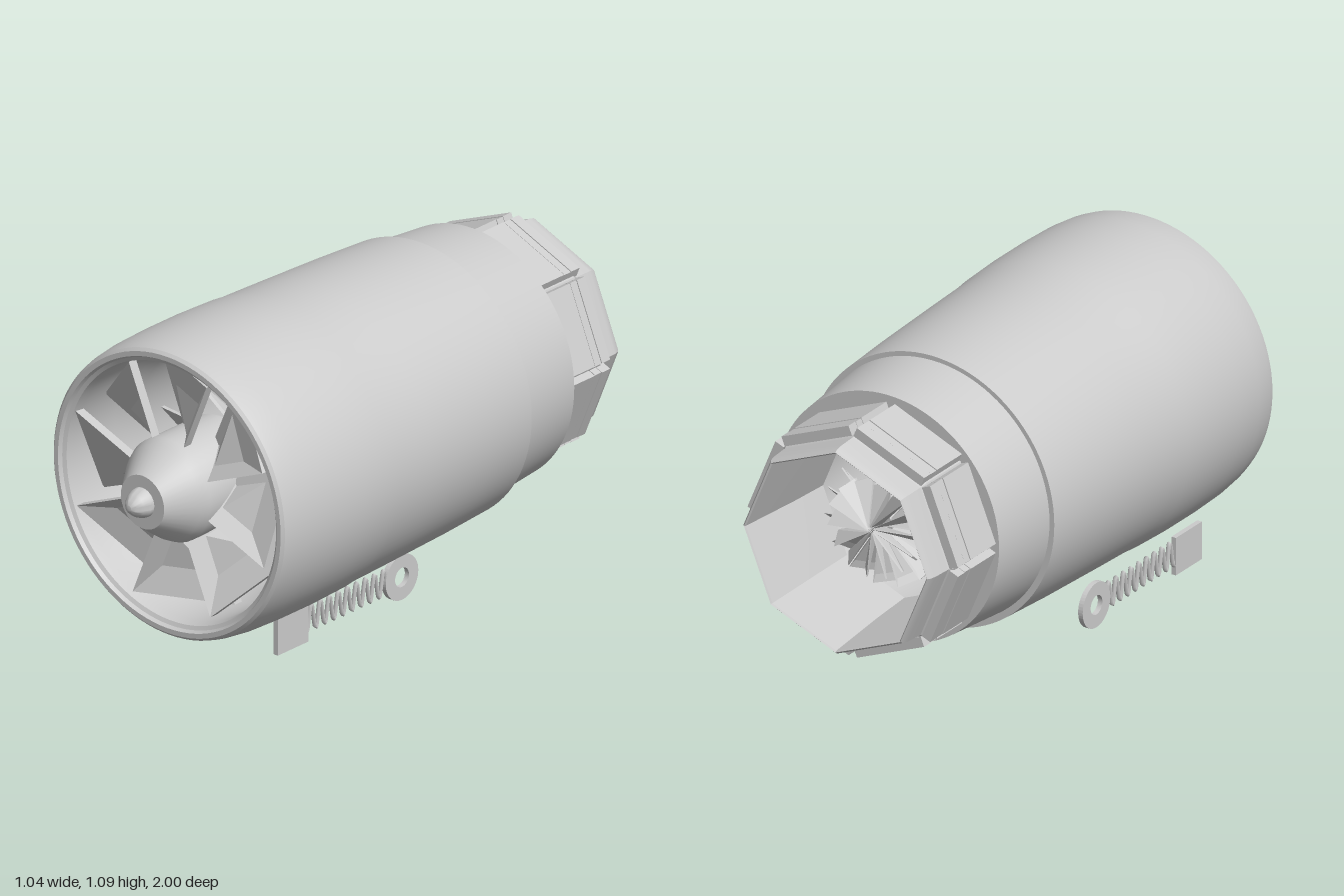
import * as THREE from 'three';
import { toCreasedNormals } from 'three/addons/utils/BufferGeometryUtils.js';

const grey = new THREE.MeshStandardMaterial({ color: 0xcccccc, side: THREE.DoubleSide });
const CY = 0.57; // height of the engine axis

function add(parent, name, geometry, x = 0, y = 0, z = 0) {
  const mesh = new THREE.Mesh(geometry, grey);
  mesh.name = name;
  mesh.position.set(x, y, z);
  parent.add(mesh);
  return mesh;
}

// Revolve [radius, z] pairs around the z axis
function revolve(profile, segments) {
  const points = profile.map(([r, z]) => new THREE.Vector2(r, z));
  return toCreasedNormals(new THREE.LatheGeometry(points, segments).rotateX(Math.PI / 2), 0.5);
}

// Radial blade: a thin box whose chord, sweep and pitch change from root to tip
function bladeGeometry(r0, r1, w0, w1, thick, depth) {
  const g = new THREE.BoxGeometry(1, 1, 1);
  const p = g.attributes.position;
  for (let i = 0; i < p.count; i++) {
    const t = p.getY(i) + 0.5, u = p.getX(i), v = p.getZ(i);
    p.setXYZ(i, u * (w0 + (w1 - w0) * t), r0 + (r1 - r0) * t, v * thick + u * depth);
  }
  const flat = g.toNonIndexed();
  flat.computeVertexNormals();
  return flat;
}

function bladeRing(parent, name, count, geometry, z, phase = 0) {
  const ring = new THREE.Group();
  ring.name = name;
  ring.position.z = z;
  for (let i = 0; i < count; i++) {
    add(ring, name + 'Blade', geometry).rotation.z = phase + (i / count) * Math.PI * 2;
  }
  parent.add(ring);
}

// Side bracket in the yz plane: square plate, serpentine spring and eyelet
function bracket(x) {
  const g = new THREE.Group();
  g.name = 'sideBracket';
  g.position.x = x;
  add(g, 'bracketPlate', new THREE.BoxGeometry(0.018, 0.135, 0.15), 0, 0.073, 0.535);

  const path = [];
  const waves = 9;
  for (let i = 0; i <= waves * 12; i++) {
    const t = i / (waves * 12);
    path.push(new THREE.Vector3(0, 0.084 + 0.045 * Math.sin(t * waves * Math.PI * 2), 0.07 + 0.4 * t));
  }
  const spring = new THREE.TubeGeometry(new THREE.CatmullRomCurve3(path), 216, 0.006, 6);
  add(g, 'bracketSpring', spring.scale(1.5, 1, 1));

  const eye = new THREE.Shape().absarc(0, 0, 0.08, 0, Math.PI * 2);
  eye.holes.push(new THREE.Path().absarc(0, 0, 0.034, 0, Math.PI * 2, true));
  const eyelet = new THREE.ExtrudeGeometry(eye, { depth: 0.018, bevelEnabled: false, curveSegments: 24 });
  add(g, 'bracketEyelet', eyelet.translate(0, 0, -0.009).rotateY(Math.PI / 2), 0, 0.08, 0);
  return g;
}

export function createModel() {
  const model = new THREE.Group();
  model.name = 'jetEngine';

  // Stepped outer shell with a rounded intake lip and an inner duct
  add(model, 'cowling', revolve([
    [0.455, -0.42], [0.482, -0.42], [0.494, -0.2], [0.505, 0.1], [0.51, 0.26], [0.515, 0.31],
    [0.52, 0.45], [0.52, 0.6], [0.516, 0.72], [0.508, 0.79], [0.502, 0.815], [0.492, 0.825],
    [0.475, 0.825], [0.468, 0.812], [0.455, 0.805], [0.45, 0.77], [0.448, 0.58],
    [0.42, 0.5], [0.41, 0.2], [0.35, -0.6],
  ], 96), 0.012, 0.565);
  add(model, 'rearCasing', revolve([[0.36, -0.68], [0.439, -0.68], [0.462, -0.41], [0.41, -0.41]], 96), 0.01, CY);

  const core = new THREE.Group();
  core.name = 'core';
  core.position.set(-0.003, CY, 0);
  model.add(core);

  // Octagonal exhaust nozzle with a rounded rim and tapering throat
  add(core, 'nozzle', revolve([
    [0.32, -0.6], [0.33, -0.75], [0.355, -0.995], [0.36, -1], [0.367, -0.992], [0.372, -0.97],
    [0.376, -0.9], [0.39, -0.88], [0.39, -0.66],
  ], 8));

  // Split panels on the eight nozzle faces
  for (let i = 0; i < 8; i++) {
    const face = new THREE.Group();
    face.name = 'nozzlePanel';
    face.rotation.z = ((i + 0.5) / 8) * Math.PI * 2;
    add(face, 'frontPanel', new THREE.BoxGeometry(0.286, 0.035, 0.15), 0, 0.371, -0.75);
    add(face, 'panelStrip', new THREE.BoxGeometry(0.286, 0.032, 0.03), 0, 0.371, -0.843);
    add(face, 'rearPanel', new THREE.BoxGeometry(0.286, 0.035, 0.04), 0, 0.371, -0.88);
    core.add(face);
  }

  // Stepped hub with a pointed spinner, and the shaft behind it
  add(core, 'hub', revolve([[0, 0.55], [0.18, 0.55], [0.18, 0.8], [0.165, 0.83], [0.094, 0.93], [0, 0.93]], 40));
  add(core, 'spinner', revolve([
    [0.052, 0.925], [0.05, 0.945], [0.04, 0.968], [0.024, 0.988], [0.01, 0.998], [0, 1],
  ], 32));
  add(core, 'shaft', new THREE.CylinderGeometry(0.07, 0.04, 1.3, 20).rotateX(Math.PI / 2), 0, 0, -0.08);

  // Intake fan, compressor stages and the exhaust turbine
  bladeRing(core, 'fan', 8, bladeGeometry(0.15, 0.41, 0.11, 0.32, 0.035, 0.14), 0.71);
  bladeRing(core, 'compressor', 12, bladeGeometry(0.05, 0.39, 0.03, 0.09, 0.015, 0.08), 0.35);
  bladeRing(core, 'rearCompressor', 12, bladeGeometry(0.05, 0.36, 0.03, 0.09, 0.015, 0.08), 0, 0.13);
  bladeRing(core, 'turbine', 14, bladeGeometry(0.01, 0.22, 0.01, 0.06, 0.008, 0.07), -0.7);
  bladeRing(core, 'innerTurbine', 14, bladeGeometry(0.01, 0.17, 0.01, 0.04, 0.008, -0.05), -0.77, 0.2);

  model.add(bracket(-0.342), bracket(0.293));
  return model;
}
